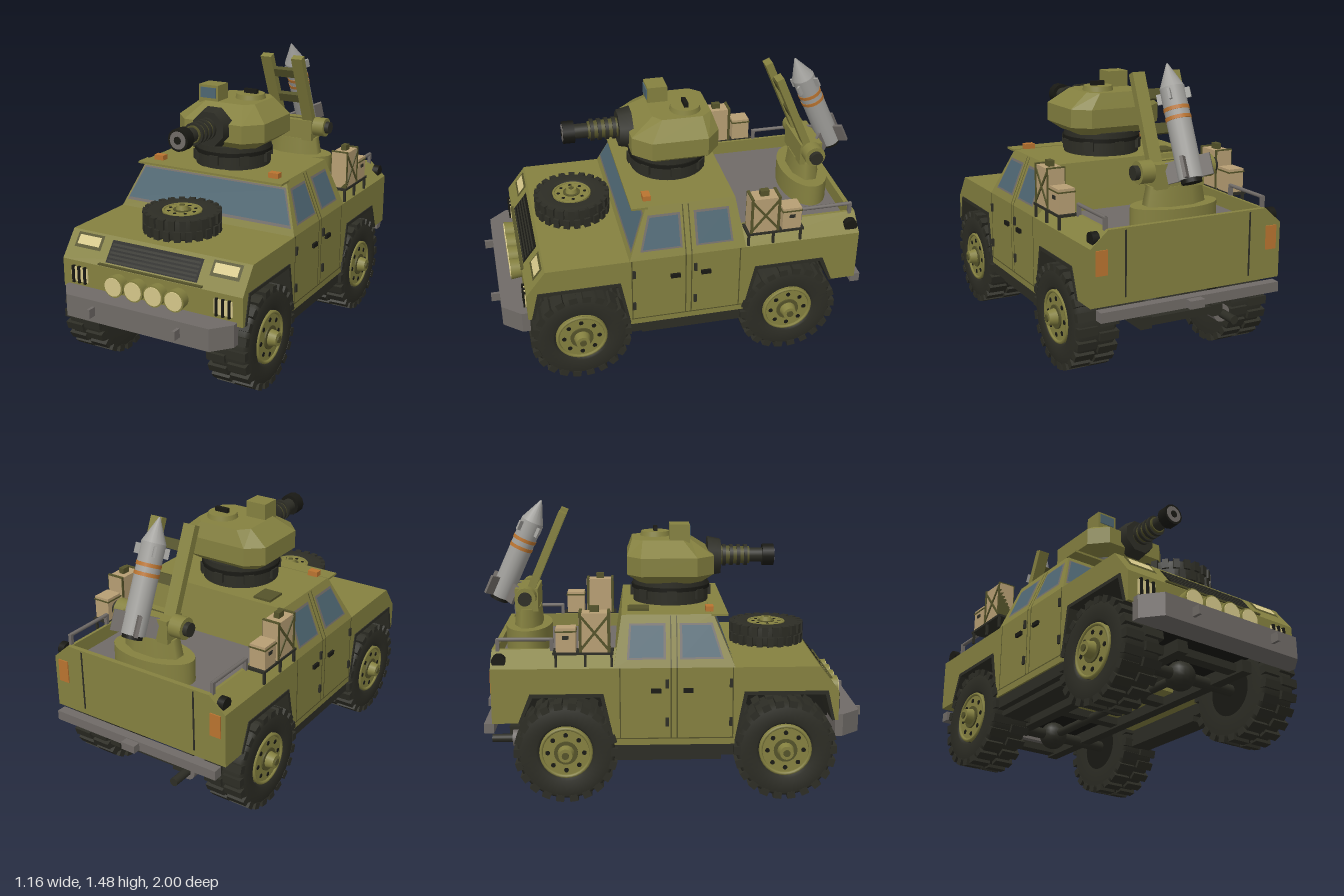
import * as THREE from 'three';
import { mergeGeometries } from 'three/addons/utils/BufferGeometryUtils.js';

const mat = (name, color) => new THREE.MeshStandardMaterial({ name, color, side: THREE.DoubleSide });
const olive = mat('olive', 0x858140), deepOlive = mat('deep olive', 0x55532a), dark = mat('dark rubber', 0x2d2d25),
  black = mat('black', 0x191914), grey = mat('steel grey', 0x706b67), glass = mat('glass', 0x4e6672),
  tan = mat('crate tan', 0xb89f74), cream = mat('lamp cream', 0xd6c88a), orange = mat('orange', 0xba7430),
  silver = mat('missile silver', 0xa09f9b);

export function createModel() {
  const root = new THREE.Group();
  const add = (name, geo, m, x = 0, y = 0, z = 0, parent = root) => {
    const mesh = new THREE.Mesh(geo, m);
    mesh.name = name;
    mesh.position.set(x, y, z);
    parent.add(mesh);
    return mesh;
  };
  const group = (name, parent = root) => {
    const g = new THREE.Group();
    g.name = name;
    parent.add(g);
    return g;
  };
  // box given by its limits
  const box = (name, m, x0, x1, y0, y1, z0, z1, parent) =>
    add(name, new THREE.BoxGeometry(x1 - x0, y1 - y0, z1 - z0), m, (x0 + x1) / 2, (y0 + y1) / 2, (z0 + z1) / 2, parent);
  const cyl = (r0, r1, h, axis = 'y', n = 24) => {
    const g = new THREE.CylinderGeometry(r1, r0, h, n);
    if (axis === 'x') g.rotateZ(-Math.PI / 2);
    if (axis === 'z') g.rotateX(Math.PI / 2);
    return g;
  };
  // side outline of [z, y] points, extruded across x
  const across = (pts, width) => {
    const g = new THREE.ExtrudeGeometry(new THREE.Shape(pts.map(p => new THREE.Vector2(...p))), { depth: width, bevelEnabled: false });
    return g.rotateY(-Math.PI / 2).translate(width / 2, 0, 0);
  };
  const flat = tris => {
    const g = new THREE.BufferGeometry();
    g.setAttribute('position', new THREE.Float32BufferAttribute(tris.flat(), 3));
    g.computeVertexNormals();
    return g;
  };
  const fan = p => p.slice(2).flatMap((q, i) => [p[0], p[i + 1], q]);
  // faceted solid through rings ordered upward
  const loft = rings => {
    const t = [...fan([...rings[0]].reverse()), ...fan(rings[rings.length - 1])];
    for (let k = 0; k + 1 < rings.length; k++) rings[k].forEach((a, i) => {
      const j = (i + 1) % rings[k].length, b = rings[k][j], c = rings[k + 1][j], d = rings[k + 1][i];
      t.push(a, b, c, a, c, d);
    });
    return flat(t);
  };
  // thin faces lying on the cabin sides, the windscreen and the nose
  const sidePanel = (name, m, pts, off = 0.003) => [1, -1].forEach(s => {
    const p = pts.map(([z, y]) => [s * (0.52 - Math.max(0, y - 0.7) * 0.4 + off), y, z]);
    add(name, flat(fan(s > 0 ? p : p.reverse())), m);
  });
  const screenPanel = (name, m, pts, off) => add(name, flat(fan(pts.map(([x, y]) => [x, y, 0.305 - (y - 0.7) * 0.42 + off]))), m);
  const nosePanel = (name, m, x0, x1, y0, y1, off) =>
    add(name, flat(fan([[x0, y0], [x1, y0], [x1, y1], [x0, y1]].map(([x, y]) => [x, y, 0.83 - (y - 0.57) / 1.3 + off]))), m);

  // Lower hull with wheel arches
  const frontArch = [[0.305, 0.32], [0.353, 0.575], [0.775, 0.575], [0.812, 0.42]];
  const rearArch = [[-0.78, 0.42], [-0.72, 0.57], [-0.353, 0.57], [-0.3, 0.32]];
  add('hull', across([[0.83, 0.42], [0.83, 0.57], [0.73, 0.7], [-0.91, 0.7], [-0.91, 0.42],
    ...rearArch, [-0.3, 0.3], [0.305, 0.3], ...frontArch], 1.04), olive);
  for (const a of [frontArch, rearArch]) {
    add('wheelWell', across([a[0], a[1], a[2], a[3], [a[3][0], 0.38], [a[0][0], 0.38]], 0.62), black);
    const inner = a.map(([z, y], i) => [z + (i < 2 ? 0.015 : -0.015), i % 3 ? y - 0.018 : y]);
    add('archTrim', across([...a, ...inner.reverse()], 1.05), dark);
  }

  // Cabin
  const rect = (y, x, zf, zb) => [[x, y, zf], [x, y, zb], [-x, y, zb], [-x, y, zf]];
  add('cabin', loft([rect(0.7, 0.52, 0.305, -0.3), rect(0.95, 0.42, 0.2, -0.26)]), olive);
  screenPanel('windscreenFrame', grey, [[-0.495, 0.735], [0.495, 0.735], [0.425, 0.918], [-0.425, 0.918]], 0.003);
  screenPanel('windscreen', glass, [[-0.485, 0.75], [0.485, 0.75], [0.418, 0.91], [-0.418, 0.91]], 0.006);
  box('visor', olive, -0.43, 0.43, 0.942, 0.953, 0.19, 0.275);
  sidePanel('windowFrame', grey, [[0.248, 0.74], [0.03, 0.74], [0.03, 0.91], [0.195, 0.91]]);
  sidePanel('window', glass, [[0.235, 0.75], [0.042, 0.75], [0.042, 0.9], [0.187, 0.9]], 0.006);
  sidePanel('windowFrame', grey, [[-0.04, 0.74], [-0.235, 0.74], [-0.222, 0.91], [-0.04, 0.91]]);
  sidePanel('window', glass, [[-0.052, 0.75], [-0.223, 0.75], [-0.212, 0.9], [-0.052, 0.9]], 0.006);
  for (const z of [0.295, 0.015, -0.015, -0.27]) {
    sidePanel('doorSeam', deepOlive, [[z + 0.003, 0.335], [z - 0.003, 0.335], [z - 0.003, 0.7], [z + 0.003, 0.7]], 0.002);
    if (Math.abs(z) < 0.1) sidePanel('doorSeam', deepOlive, [[z + 0.003, 0.7], [z - 0.003, 0.7], [z - 0.003, 0.945], [z + 0.003, 0.945]], 0.002);
  }
  sidePanel('doorLowerSeam', deepOlive, [[0.3, 0.332], [-0.3, 0.332], [-0.3, 0.338], [0.3, 0.338]], 0.002);
  for (const s of [1, -1]) {
    for (const z of [0.07, -0.09]) box('doorHandle', black, s * 0.525 - 0.008, s * 0.525 + 0.008, 0.573, 0.595, z - 0.025, z + 0.025);
    for (const z of [0.285, -0.035]) for (const y of [0.42, 0.62]) box('hinge', dark, s * 0.523 - 0.007, s * 0.523 + 0.007, y - 0.022, y + 0.022, z - 0.008, z + 0.008);
    box('roofLamp', orange, s * 0.345 - 0.028, s * 0.345 + 0.028, 0.953, 0.98, 0.165, 0.205);
    box('sideStep', dark, s * 0.42 - 0.06, s * 0.42 + 0.06, 0.205, 0.235, -0.3, 0.24);
    box('sill', dark, s * 0.44 - 0.07, s * 0.44 + 0.07, 0.24, 0.3, -0.3, 0.3);
  }
  box('roofHatch', deepOlive, -0.33, -0.23, 0.95, 0.962, -0.23, -0.12);

  // Cargo bed
  for (const s of [1, -1]) {
    const wall = new THREE.Shape([[0.52, 0.7], [0.43, 0.78], [0.415, 0.78], [0.415, 0.7]].map(([x, y]) => new THREE.Vector2(s * x, y)));
    add('bedWall', new THREE.ExtrudeGeometry(wall, { depth: 0.63, bevelEnabled: false }), olive, 0, 0, -0.91);
    box('tailLamp', orange, s * 0.465 - 0.03, s * 0.465 + 0.03, 0.57, 0.69, -0.916, -0.908);
    box('tailgateSeam', dark, s * 0.34 - 0.004, s * 0.34 + 0.004, 0.45, 0.77, -0.913, -0.908);
    add('cornerLamp', cyl(0.035, 0.035, 0.035, 'x', 16), black, s * 0.485, 0.735, -0.87);
    // Rail with posts
    add('bedRail', cyl(0.01, 0.01, 0.28, 'z', 8), grey, s * 0.43, 0.83, -0.745);
    for (const z of [-0.61, -0.88]) box('railPost', grey, s * 0.43 - 0.009, s * 0.43 + 0.009, 0.77, 0.835, z - 0.009, z + 0.009);
    // Crates on a side shelf
    const cargo = group(s > 0 ? 'leftCargo' : 'rightCargo');
    cargo.scale.x = s;
    box('shelf', dark, 0.43, 0.53, 0.772, 0.784, -0.6, -0.3, cargo);
    for (const z of [-0.31, -0.44, -0.585]) box('shelfLeg', dark, 0.515, 0.527, 0.71, 0.775, z - 0.006, z + 0.006, cargo);
    box('largeCrate', tan, 0.437, 0.523, 0.784, 0.98, -0.47, -0.315, cargo);
    box('smallCrate', tan, 0.437, 0.523, 0.784, 0.905, -0.583, -0.485, cargo);
    for (const a of [0.68, -0.68]) add('crateBrace', new THREE.BoxGeometry(0.006, 0.225, 0.012), deepOlive, 0.525, 0.882, -0.392, cargo).rotation.x = a;
    for (const z of [-0.322, -0.462]) box('crateStrap', deepOlive, 0.433, 0.527, 0.784, 0.986, z - 0.007, z + 0.007, cargo);
    box('crateHandle', deepOlive, 0.465, 0.495, 0.98, 1.01, -0.415, -0.37, cargo);
    box('smallLid', deepOlive, 0.433, 0.527, 0.885, 0.892, -0.587, -0.481, cargo);
    box('crateLatch', dark, 0.52, 0.527, 0.85, 0.868, -0.55, -0.52, cargo);
  }
  box('tailgateTop', olive, -0.43, 0.43, 0.7, 0.78, -0.91, -0.885);
  box('bedFloor', grey, -0.417, 0.417, 0.695, 0.706, -0.89, -0.295);

  // Nose: grille, lamps, bumpers
  nosePanel('grille', black, -0.265, 0.265, 0.59, 0.685, 0.004);
  for (let i = 0; i < 5; i++) nosePanel('grilleSlat', dark, -0.255, 0.255, 0.597 + i * 0.017, 0.606 + i * 0.017, 0.009);
  box('noseLedge', deepOlive, -0.3, 0.3, 0.575, 0.583, 0.81, 0.836);
  for (const s of [1, -1]) {
    nosePanel('headlampFrame', deepOlive, s * 0.397 - 0.08, s * 0.397 + 0.08, 0.628, 0.692, 0.004);
    nosePanel('headlamp', cream, s * 0.397 - 0.066, s * 0.397 + 0.066, 0.643, 0.683, 0.008);
    box('markerLamp', cream, s * 0.417 - 0.05, s * 0.417 + 0.05, 0.462, 0.538, 0.826, 0.836);
    for (const d of [-0.035, 0, 0.035]) box('lampGuard', black, s * 0.417 + d - 0.006, s * 0.417 + d + 0.006, 0.455, 0.545, 0.83, 0.845);
    for (const x of [0.058, 0.175]) {
      add('spotlampShell', cyl(0.05, 0.056, 0.055, 'z'), olive, s * x, 0.5, 0.857);
      add('spotlampLens', cyl(0.048, 0.048, 0.006, 'z'), cream, s * x, 0.5, 0.886);
    }
    box('towHook', grey, s * 0.245 - 0.008, s * 0.245 + 0.008, 0.362, 0.408, 0.94, 1);
  }
  const bumper = y => [[0.49, y, 0.86], [0.49, y, 0.82], [-0.49, y, 0.82], [-0.49, y, 0.86], [-0.41, y, 0.955], [0.41, y, 0.955]];
  add('frontBumper', loft([bumper(0.325), bumper(0.44)]), grey);
  box('rearBumper', grey, -0.49, 0.49, 0.36, 0.41, -0.955, -0.905);
  box('hitch', grey, -0.04, 0.04, 0.365, 0.405, -0.995, -0.95);

  // Chassis
  for (const s of [1, -1]) box('frameRail', dark, s * 0.2 - 0.03, s * 0.2 + 0.03, 0.25, 0.31, -0.86, 0.82);
  for (const z of [0.75, 0.2, -0.2, -0.82]) box('crossMember', dark, -0.2, 0.2, 0.26, 0.3, z - 0.03, z + 0.03);
  add('driveShaft', cyl(0.022, 0.022, 1.1, 'z', 12), dark, 0, 0.265, 0.01);
  for (const z of [0.565, -0.545]) {
    add('axle', cyl(0.03, 0.03, 0.7, 'x', 12), dark, 0, 0.265, z);
    add('differential', new THREE.SphereGeometry(0.075, 16, 10), dark, 0, 0.265, z);
  }
  add('muffler', cyl(0.045, 0.045, 0.22, 'z', 16), grey, -0.24, 0.25, -0.73);
  add('exhaustTip', cyl(0.022, 0.022, 0.12, 'z', 12), dark, -0.24, 0.25, -0.89);

  // Wheels: axis along x, outer face at +x
  const tyreGeo = new THREE.LatheGeometry([[0.13, -0.1], [0.23, -0.105], [0.247, -0.085], [0.247, 0.085], [0.23, 0.105], [0.15, 0.107], [0.135, 0.085]]
    .map(p => new THREE.Vector2(...p)), 40).rotateZ(-Math.PI / 2);
  const lugs = [];
  for (let i = 0; i < 44; i++) {
    const row = i % 2 ? 1 : -1;
    lugs.push(new THREE.BoxGeometry(0.1, 0.035, 0.042).translate(row * 0.057, 0.2445, 0).rotateX(i / 44 * Math.PI * 2));
  }
  const lugGeo = mergeGeometries(lugs);
  const wheel = name => {
    const g = group(name);
    add('tyre', tyreGeo, dark, 0, 0, 0, g);
    add('tread', lugGeo, dark, 0, 0, 0, g);
    add('innerDisc', cyl(0.135, 0.135, 0.02, 'x', 32), black, -0.085, 0, 0, g);
    add('rim', cyl(0.134, 0.13, 0.1, 'x', 32), olive, 0.05, 0, 0, g);
    add('rimRing', new THREE.TorusGeometry(0.126, 0.009, 6, 32).rotateY(Math.PI / 2), olive, 0.1, 0, 0, g);
    add('hubRing', cyl(0.06, 0.06, 0.012, 'x'), deepOlive, 0.102, 0, 0, g);
    add('hub', cyl(0.045, 0.035, 0.055, 'x', 16), olive, 0.122, 0, 0, g);
    add('hubCap', cyl(0.018, 0.018, 0.012, 'x', 12), deepOlive, 0.15, 0, 0, g);
    for (let i = 0; i < 8; i++) {
      const a = i / 8 * Math.PI * 2;
      add('rimHole', cyl(0.012, 0.012, 0.005, 'x', 10), black, 0.1, Math.cos(a) * 0.092, Math.sin(a) * 0.092, g);
    }
    return g;
  };
  for (const z of [0.565, -0.545]) for (const s of [1, -1]) {
    const w = wheel((z > 0 ? 'front' : 'rear') + (s > 0 ? 'LeftWheel' : 'RightWheel'));
    w.position.set(s * 0.423, 0.264, z);
    if (s < 0) w.rotation.y = Math.PI;
  }
  const spare = wheel('spareWheel');
  spare.position.set(0, 0.772, 0.52);
  spare.rotation.z = Math.PI / 2;
  spare.scale.set(0.5, 0.76, 0.76);
  add('spareMount', cyl(0.1, 0.1, 0.04), dark, 0, 0.715, 0.52);

  // Gun turret
  const turret = group('turret');
  add('turretRing', cyl(0.2, 0.2, 0.12, 'y', 32), dark, 0, 1.01, 0, turret);
  add('ringFlange', cyl(0.208, 0.208, 0.02, 'y', 32), black, 0, 1.03, 0, turret);
  for (let i = 0; i < 8; i++) add('ringBlock', new THREE.BoxGeometry(0.02, 0.05, 0.05).translate(0.205, 0, 0).rotateY(i * Math.PI / 4), dark, 0, 1, 0, turret);
  const oct = (y, xw, xn, sf, sb, f, b) => [[xw, y, sf], [xw, y, sb], [xn, y, b], [-xn, y, b], [-xw, y, sb], [-xw, y, sf], [-xn, y, f], [xn, y, f]];
  add('turretBody', loft([oct(1.065, 0.19, 0.13, 0.1, -0.13, 0.16, -0.17), oct(1.11, 0.255, 0.17, 0.13, -0.16, 0.22, -0.232),
    oct(1.205, 0.255, 0.17, 0.13, -0.16, 0.22, -0.232), oct(1.285, 0.16, 0.11, 0.06, -0.15, 0.1, -0.205)]), olive, 0, 0, 0, turret);
  add('mantlet', cyl(0.11, 0.095, 0.07, 'z', 8).rotateZ(Math.PI / 8), dark, 0, 1.18, 0.23, turret);
  add('barrelSleeve', cyl(0.05, 0.045, 0.18, 'z'), deepOlive, 0, 1.185, 0.33, turret);
  for (let i = 0; i < 4; i++) add('barrelRib', cyl(0.057, 0.057, 0.018, 'z'), dark, 0, 1.185, 0.285 + i * 0.038, turret);
  add('barrel', cyl(0.038, 0.038, 0.12, 'z'), dark, 0, 1.185, 0.46, turret);
  add('muzzle', cyl(0.058, 0.058, 0.06, 'z', 12), black, 0, 1.185, 0.52, turret);
  add('muzzleFace', cyl(0.045, 0.045, 0.006, 'z'), grey, 0, 1.185, 0.55, turret);
  add('bore', cyl(0.02, 0.02, 0.006, 'z', 12), black, 0, 1.185, 0.553, turret);
  box('sightBox', olive, -0.155, -0.04, 1.27, 1.368, -0.01, 0.095, turret);
  box('sightGlass', glass, -0.143, -0.052, 1.3, 1.355, 0.093, 0.1, turret);
  add('turretHatch', cyl(0.082, 0.075, 0.03), olive, 0.06, 1.295, -0.08, turret);
  box('hatchHandle', black, 0.025, 0.1, 1.31, 1.333, -0.09, -0.068, turret);

  // Missile launcher
  const launcher = group('launcher');
  launcher.position.z = -0.76;
  add('launcherDisc', cyl(0.23, 0.23, 0.12, 'y', 32).scale(1, 1, 0.53), olive, 0, 0.765, 0, launcher);
  add('pedestal', cyl(0.17, 0.15, 0.1, 'y', 8).rotateY(Math.PI / 8).scale(1, 1, 0.46), olive, 0, 0.87, 0, launcher);
  box('pivotBlock', olive, -0.13, 0.13, 0.91, 1.03, -0.06, 0.06, launcher);
  for (const s of [1, -1]) {
    add('pivotDrum', cyl(0.055, 0.055, 0.07, 'x', 20), olive, s * 0.165, 0.99, 0, launcher);
    add('pivotCap', cyl(0.035, 0.035, 0.03, 'x', 16), dark, s * 0.21, 0.99, 0, launcher);
  }
  const ramp = group('launchRamp', launcher);
  ramp.position.set(0, 0.95, -0.01);
  ramp.rotation.x = 0.41;
  for (const s of [1, -1]) box('rampBeam', olive, s * 0.097 - 0.033, s * 0.097 + 0.033, -0.04, 0.52, -0.02, 0.02, ramp);
  for (const y of [0.06, 0.24, 0.41]) box('rampRung', deepOlive, -0.07, 0.07, y - 0.025, y + 0.025, -0.016, 0.014, ramp);

  // Missile, nose along local y
  const missile = group('missile');
  missile.position.set(0, 0.97, -0.912);
  missile.rotation.x = 0.43;
  add('missileBody', cyl(0.06, 0.06, 0.44, 'y', 16), silver, 0, 0.22, 0, missile);
  add('missileNose', cyl(0.06, 0.004, 0.12, 'y', 16), silver, 0, 0.5, 0, missile);
  add('missileNozzle', cyl(0.05, 0.05, 0.02, 'y', 16), black, 0, -0.01, 0, missile);
  for (const y of [0.29, 0.335]) add('missileBand', cyl(0.0625, 0.0625, 0.018, 'y', 16), orange, 0, y, 0, missile);
  for (let i = 0; i < 4; i++) {
    const a = i * Math.PI / 2 + Math.PI / 4;
    add('tailFin', new THREE.BoxGeometry(0.06, 0.1, 0.016).translate(0.08, 0, 0).rotateY(a), grey, 0, 0.05, 0, missile);
    add('noseFin', new THREE.BoxGeometry(0.03, 0.05, 0.012).translate(0.067, 0, 0).rotateY(a), silver, 0, 0.4, 0, missile);
  }
  return root;
}
